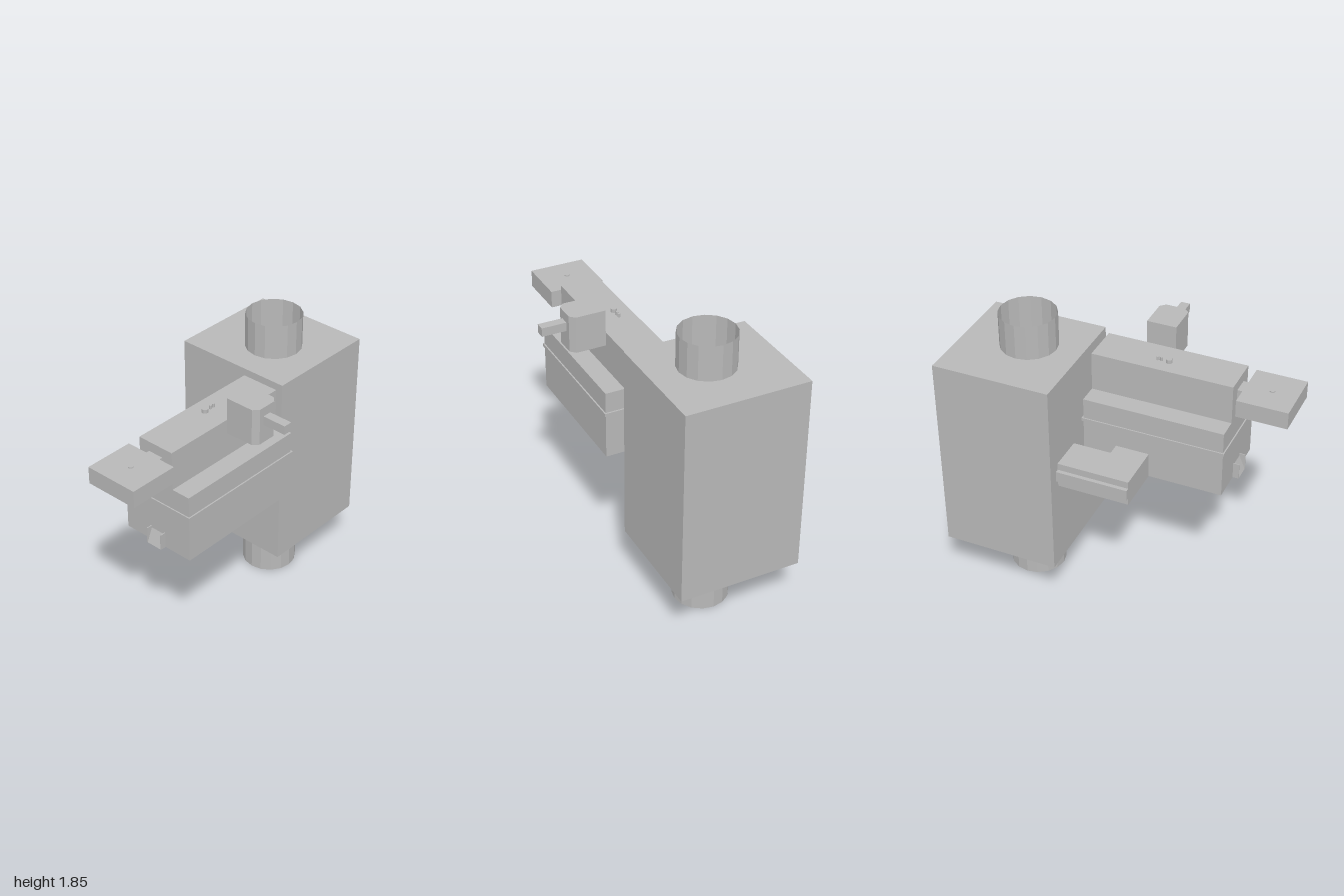
import * as THREE from 'three';

export function createModel() {
  const model = new THREE.Group();
  model.name = 'columnMachine';
  const grey = new THREE.MeshStandardMaterial({ color: 0xb8b8b8, flatShading: true, side: THREE.DoubleSide });
  grey.name = 'plain grey';

  const add = (name, geometry, x = 0, y = 0, z = 0) => {
    const mesh = new THREE.Mesh(geometry, grey);
    mesh.name = name;
    mesh.position.set(x, y, z);
    model.add(mesh);
    return mesh;
  };
  // Box given by its limits on each axis
  const box = (name, [x0, x1], [y0, y1], [z0, z1]) =>
    add(name, new THREE.BoxGeometry(x1 - x0, y1 - y0, z1 - z0), (x0 + x1) / 2, (y0 + y1) / 2, (z0 + z1) / 2);
  // Outline pushed straight along z
  const prism = (points, depth) => new THREE.ExtrudeGeometry(
    new THREE.Shape(points.map(([a, b]) => new THREE.Vector2(a, b))), { depth, bevelEnabled: false });

  // Tall housing with open pipe stubs
  box('housing', [-0.57, 0.215], [0.35, 1.625], [-1, -0.262]);
  for (const [name, y0, y1] of [['lowerPipe', 0, 0.35], ['upperPipe', 1.625, 1.845]]) {
    add(name, new THREE.CylinderGeometry(0.176, 0.176, y1 - y0, 16, 1, true), -0.135, (y0 + y1) / 2, -0.595);
  }

  // Stepped main body with a thin flange
  const bodyZ = [-0.232, 0.652];
  box('body', [-0.177, 0.318], [0.918, 1.356], bodyZ);
  box('flange', [-0.185, 0.327], [1.205, 1.225], [-0.242, 0.66]);
  box('upperBody', [-0.053, 0.195], [1.356, 1.602], bodyZ);

  // Front panel box and necks
  box('panel', [-0.102, 0.245], [1.445, 1.553], [0.688, 1]);
  box('frontNeck', [0.02, 0.122], [1.45, 1.54], [0.65, 0.69]);
  box('backNeck', [0.02, 0.122], [1.45, 1.54], [-0.263, -0.23]);
  add('panelButton', new THREE.CylinderGeometry(0.016, 0.016, 0.008, 12), 0.07, 1.556, 0.845);

  // Knobs on top and pegs on the front
  for (const [z, r] of [[0.22, 0.02], [0.172, 0.009], [0.148, 0.009]]) {
    add('topKnob', new THREE.CylinderGeometry(r, r, 0.025, 12), 0.045, 1.613, z);
  }
  for (const x of [0.046, 0.096]) {
    add('frontPeg', new THREE.CylinderGeometry(0.013, 0.013, 0.03, 12), x, 1.405, 0.665).rotation.x = Math.PI / 2;
  }

  // Spout: two cheeks with a sloping chute between
  for (const [x0, x1] of [[0.015, 0.02], [0.122, 0.127]]) {
    box('spoutCheek', [x0, x1], [0.918, 1.02], [0.65, 0.69]);
  }
  add('spoutChute', prism([[-0.65, 0.918], [-0.65, 1.01], [-0.69, 0.918]], 0.102), 0.02).rotation.y = Math.PI / 2;

  // Chamfered drive block with an arm
  const block = prism([[0.195, -0.2], [0.382, -0.2], [0.413, -0.167],
    [0.413, -0.046], [0.382, -0.015], [0.195, -0.015]], 0.232);
  block.rotateX(-Math.PI / 2);
  add('driveBlock', block, 0, 1.515, 0);
  box('driveArm', [0.41, 0.567], [1.635, 1.69], [0.08, 0.137]);

  // Side unit, its link to the body, rail and wedge foot
  box('sideUnit', [-0.477, -0.255], [0.918, 1.08], [-0.264, 0.19]);
  box('sideLink', [-0.256, -0.176], [0.918, 1.08], [-0.022, 0.19]);
  box('sideRail', [-0.502, -0.476], [0.967, 1.036], [-0.264, 0.19]);
  add('wedgeFoot', prism([[0.203, 0.92], [0.203, 0.895], [0.262, 0.915], [0.262, 0.92]], 0.11), -0.42)
    .rotation.y = Math.PI / 2;

  return model;
}
